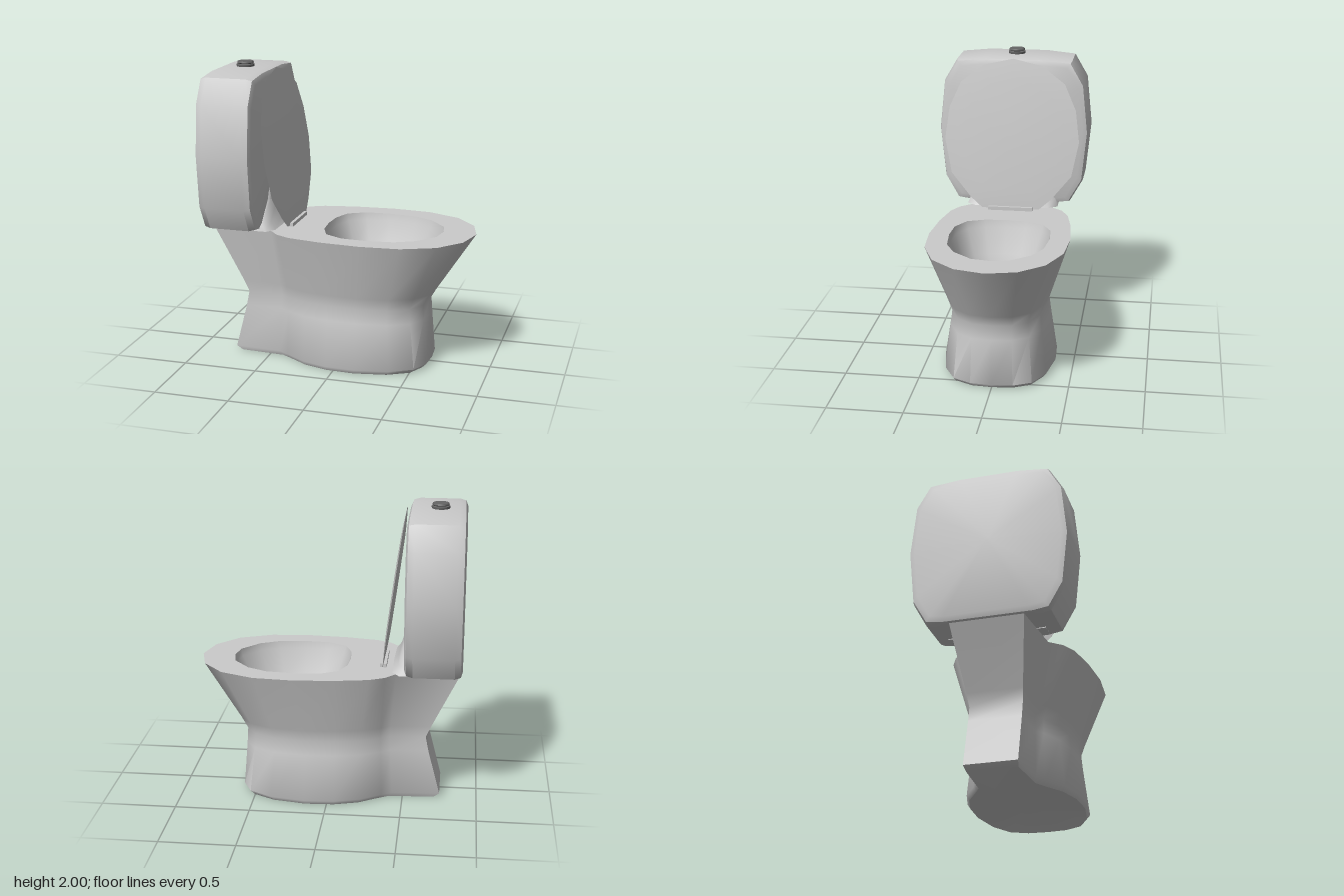
import * as THREE from 'three';
import { toCreasedNormals } from 'three/addons/utils/BufferGeometryUtils.js';

const grey = new THREE.MeshStandardMaterial({ color: 0xcccccc });
const dark = new THREE.MeshStandardMaterial({ color: 0x666666 });

// Complete a half outline [a, z] by mirroring it in z
const mirror = (half) => [
  ...half,
  ...half.filter((p) => p[1] > 0).reverse().map(([a, z]) => [a, -z]),
];

// Skin a stack of equal-length rings, optionally closing the first and last
function loft(rings, capFirst, capLast, crease = 0.9) {
  const n = rings[0].length;
  const pos = rings.flat().flatMap((p) => [p.x, p.y, p.z]);
  const index = [];
  for (let i = 0; i < rings.length - 1; i++) {
    for (let j = 0; j < n; j++) {
      const a = i * n + j, b = i * n + ((j + 1) % n);
      index.push(a, a + n, b, b, a + n, b + n);
    }
  }
  const cap = (row, flip) => {
    const c = new THREE.Vector3();
    rings[row].forEach((p) => c.addScaledVector(p, 1 / n));
    const centre = pos.length / 3;
    pos.push(c.x, c.y, c.z);
    for (let j = 0; j < n; j++) {
      const a = row * n + j, b = row * n + ((j + 1) % n);
      index.push(centre, ...(flip ? [b, a] : [a, b]));
    }
  };
  if (capFirst) cap(0, false);
  if (capLast) cap(rings.length - 1, true);
  const g = new THREE.BufferGeometry();
  g.setAttribute('position', new THREE.Float32BufferAttribute(pos, 3));
  g.setIndex(index);
  return toCreasedNormals(g, crease);
}

// Horizontal ring from [x, z] points
const levelRing = (half, y, s = 1) =>
  mirror(half).map(([x, z]) => new THREE.Vector3(x * s, y, z * s));

// Upright ring from [y, z] points, scaled about a middle height
const uprightRing = (half, x, s, midY) =>
  mirror(half).map(([y, z]) => new THREE.Vector3(x, midY + (y - midY) * s, -z * s));

const lerpHalf = (a, b, t) =>
  a.map((p, i) => [p[0] + (b[i][0] - p[0]) * t, p[1] + (b[i][1] - p[1]) * t]);

export function createModel() {
  const group = new THREE.Group();
  const add = (name, geometry, material = grey) => {
    const mesh = new THREE.Mesh(geometry, material);
    mesh.name = name;
    group.add(mesh);
    return mesh;
  };

  // Pedestal: foot, waist and rim outlines with a narrower neck at the back
  const rim = [[0.88, 0], [0.83, 0.2], [0.69, 0.36], [0.47, 0.45], [0.21, 0.47],
    [-0.06, 0.45], [-0.28, 0.41], [-0.38, 0.36], [-0.45, 0.28], [-0.87, 0.24]];
  const waist = [[0.575, 0], [0.56, 0.13], [0.49, 0.23], [0.35, 0.295], [0.15, 0.32],
    [-0.05, 0.31], [-0.22, 0.28], [-0.35, 0.22], [-0.41, 0.18], [-0.65, 0.17]];
  const foot = [[0.6, 0], [0.59, 0.14], [0.53, 0.26], [0.38, 0.34], [0.15, 0.38],
    [-0.05, 0.37], [-0.22, 0.32], [-0.36, 0.23], [-0.43, 0.19], [-0.75, 0.17]];
  add('pedestal', loft([
    levelRing(foot, 0, 0.95),
    levelRing(foot, 0.03),
    levelRing(lerpHalf(foot, waist, 0.8), 0.34),
    levelRing(waist, 0.44),
    levelRing(lerpHalf(waist, rim, 0.15), 0.52),
    levelRing(rim, 0.92),
  ], true, false));

  // Flat rim with the bowl opening
  const opening = [[0.66, 0], [0.64, 0.12], [0.53, 0.25], [0.4, 0.315], [0.21, 0.335],
    [0.05, 0.325], [-0.07, 0.26], [-0.12, 0.14], [-0.13, 0]];
  const toPoints = (half) => mirror(half).map(([x, z]) => new THREE.Vector2(x, z));
  const rimShape = new THREE.Shape(toPoints(rim));
  rimShape.holes.push(new THREE.Path(toPoints(opening)));
  add('rim', new THREE.ShapeGeometry(rimShape).rotateX(-Math.PI / 2).translate(0, 0.92, 0));

  // Bowl: the opening shrinks towards the drain at the back
  const bowlRing = (y, s, x) =>
    levelRing(opening.map(([px, pz]) => [x + (px - 0.265) * s, pz * s]), y);
  add('bowl', loft([
    bowlRing(0.92, 1, 0.265),
    bowlRing(0.87, 0.97, 0.265),
    bowlRing(0.7, 0.78, 0.255),
    bowlRing(0.52, 0.55, 0.225),
    bowlRing(0.38, 0.32, 0.15),
  ], false, true));

  // Cistern with rounded edges
  const tank = [[1.965, 0], [1.965, 0.2], [1.945, 0.4], [1.79, 0.49], [1.45, 0.525],
    [1.1, 0.49], [0.94, 0.4], [0.925, 0.3]];
  const tankRings = [[-0.88, 0.92], [-0.868, 0.98], [-0.83, 1], [-0.56, 1], [-0.518, 0.98], [-0.505, 0.92]];
  add('cistern', loft(tankRings.map(([x, s]) => uprightRing(tank, x, s, 1.445)), true, true));

  // Flared foot joining the cistern to the rim
  const flare = [[0.92, -0.42, 0.32], [0.97, -0.455, 0.3], [1.1, -0.487, 0.2], [1.3, -0.502, 0.1]];
  add('cisternFlare', loft(flare.map(([y, x, z]) =>
    levelRing([[x, 0], [x - 0.005, z * 0.8], [x - 0.05, z], [-0.65, z]], y)), false, true));

  // Raised lid: a thin lens leaning against the cistern
  const lid = [[1.045, 0], [1, 0.2], [0.88, 0.36], [0.7, 0.44], [0.48, 0.468],
    [0.24, 0.42], [0.07, 0.28], [0, 0.2]];
  const lidMesh = add('lid', loft([[-0.01, 0.75], [0, 1], [0.01, 0.75]]
    .map(([x, s]) => uprightRing(lid, x, s, 0.5)), true, true, 0.3));
  lidMesh.position.set(-0.355, 0.93, 0);
  lidMesh.rotation.z = 0.129;

  // Hinge bar
  add('hinge', new THREE.BoxGeometry(0.045, 0.025, 0.31).translate(-0.357, 0.932, 0));

  // Flush button
  const button = [[0.055, 1.955], [0.06, 1.97], [0.06, 1.98], [0.05, 1.984], [0.056, 1.99], [0.052, 2], [0, 2]];
  const buttonGeometry = new THREE.LatheGeometry(button.map(([r, y]) => new THREE.Vector2(r, y)), 20);
  add('flushButton', toCreasedNormals(buttonGeometry, 0.6), dark).position.x = -0.705;

  return group;
}
